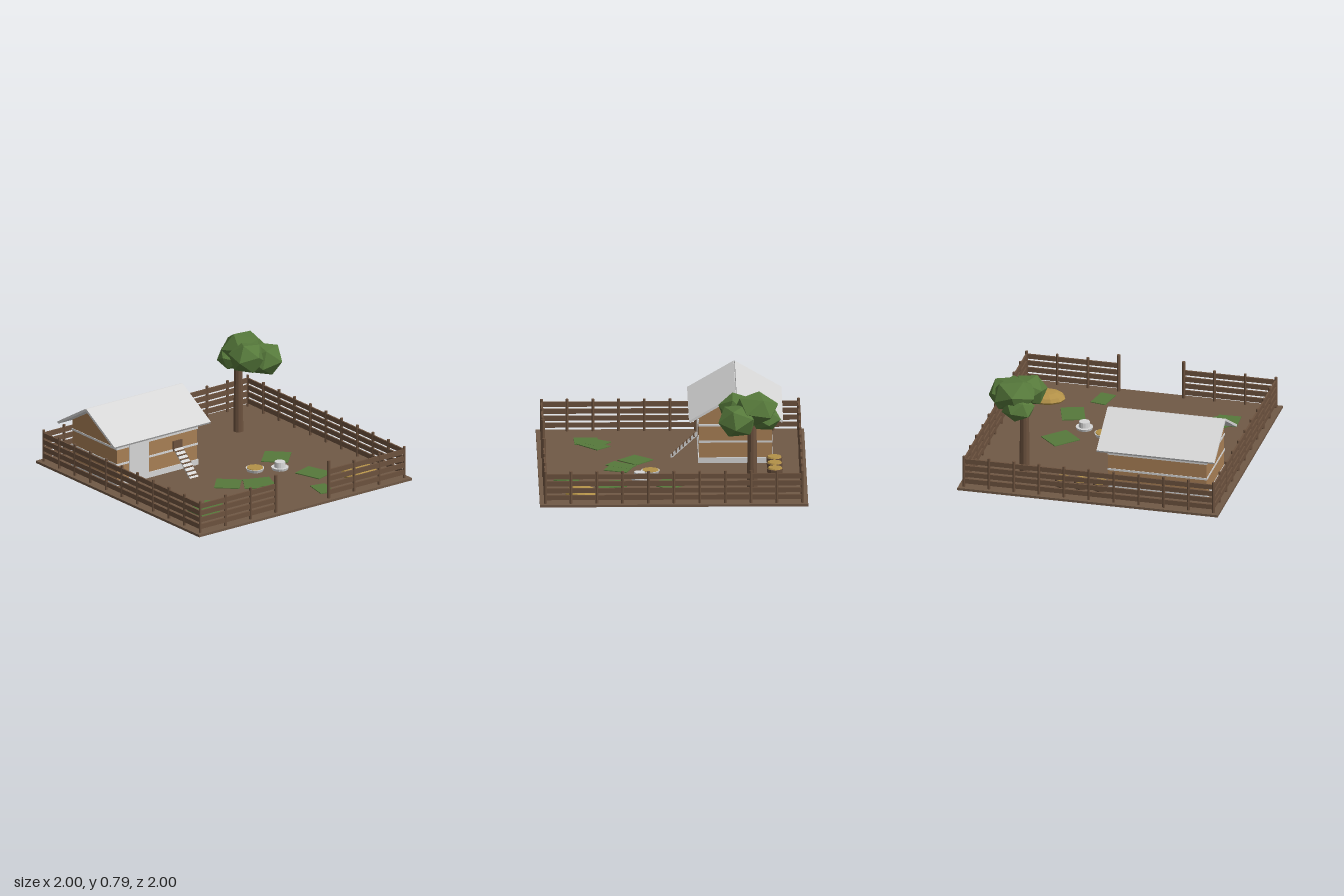
import * as THREE from 'three';

const mat = (name, color, extra = {}) => {
  const m = new THREE.MeshStandardMaterial({ color, ...extra });
  m.name = name;
  return m;
};

export function createModel() {
  const root = new THREE.Group();
  root.name = 'chickenYard';
  const earth = mat('earth', 0x705946);
  const wood = mat('darkWood', 0x6c523e, { flatShading: true });
  const plank = mat('wallWood', 0xa87f55);
  const pale = mat('paleMetal', 0xd6d6d6, { flatShading: true });
  const straw = mat('straw', 0xb39148, { flatShading: true });
  const green = mat('leafGreen', 0x56793b, { flatShading: true });

  const add = (parent, name, geo, material, x = 0, y = 0, z = 0) => {
    const m = new THREE.Mesh(geo, material);
    m.name = name;
    m.position.set(x, y, z);
    parent.add(m);
    return m;
  };
  const box = (parent, name, material, w, h, d, x, y, z) =>
    add(parent, name, new THREE.BoxGeometry(w, h, d), material, x, y, z);
  const cyl = (parent, name, material, rTop, rBottom, y0, y1, x, z, sides = 12) =>
    add(parent, name, new THREE.CylinderGeometry(rTop, rBottom, y1 - y0, sides), material, x, (y0 + y1) / 2, z);
  const group = (name) => {
    const g = new THREE.Group();
    g.name = name;
    root.add(g);
    return g;
  };

  const G = 0.037; // ground level
  box(root, 'ground', earth, 2, 0.018, 2, 0, G - 0.009, 0);

  // Grass patches: x, z, width, depth, turn
  [
    [0.465, 0.035, 0.2, 0.22, -0.78], [-0.17, 0.27, 0.19, 0.19, -0.75],
    [0.03, 0.39, 0.21, 0.18, -0.35], [-0.03, 0.38, 0.12, 0.2, -0.6],
    [0.48, 0.475, 0.175, 0.22, 0.3], [0.325, 0.785, 0.12, 0.185, -0.2],
    [-0.67, 0.63, 0.17, 0.18, 0.04], [-0.56, 0.58, 0.14, 0.23, -0.82],
    [-0.62, 0.55, 0.15, 0.15, -0.62],
  ].forEach(([x, z, w, d, turn], i) => {
    box(root, 'grassPatch', green, w, 0.006, d, x, G + 0.003 + i * 0.0004, z).rotation.y = turn;
  });

  // Fence runs with round posts and four rails
  const fence = group('fence');
  const run = (name, x0, z0, x1, z1, bays) => {
    const g = new THREE.Group();
    g.name = name;
    fence.add(g);
    const len = Math.hypot(x1 - x0, z1 - z0);
    for (let i = 0; i <= bays; i++) {
      const t = i / bays;
      cyl(g, 'post', wood, 0.011, 0.011, G, 0.285, x0 + (x1 - x0) * t, z0 + (z1 - z0) * t, 8);
    }
    for (const y of [0.083, 0.137, 0.191, 0.245]) {
      const rail = box(g, 'rail', wood, len, 0.037, 0.013, (x0 + x1) / 2, y, (z0 + z1) / 2);
      rail.rotation.y = -Math.atan2(z1 - z0, x1 - x0);
    }
  };
  const E = 0.958;
  run('backFence', -E, -E, E, -E, 10);
  for (const s of [-1, 1]) {
    run('sideFence', s * E, -E, s * E, E, 10);
    run('frontFence', s * E, E, s * 0.25, E, 3);
    cyl(fence, 'gatePost', wood, 0.014, 0.014, G, 0.333, s * 0.25, E, 8);
  }

  // Coop: gabled walls extruded along x
  const coop = group('coop');
  const cx = -0.474, cz = -0.475, len = 0.755, half = 0.272;
  const gable = new THREE.Shape();
  gable.moveTo(-half, G);
  gable.lineTo(half, G);
  gable.lineTo(half, 0.405);
  gable.lineTo(0, 0.56);
  gable.lineTo(-half, 0.405);
  gable.closePath();
  const wallGeo = new THREE.ExtrudeGeometry(gable, { depth: len, bevelEnabled: false });
  wallGeo.translate(0, 0, -len / 2);
  wallGeo.rotateY(Math.PI / 2);
  add(coop, 'walls', wallGeo, plank, cx, 0, cz);
  box(coop, 'foundation', pale, len + 0.012, 0.044, 2 * half + 0.012, cx, G + 0.022, cz);
  for (const y of [0.203, 0.33]) {
    box(coop, 'trimBand', pale, len + 0.008, 0.016, 2 * half + 0.008, cx, y, cz);
  }

  // Two roof slopes meeting at the ridge
  const pitch = 0.53, slope = 0.402;
  for (const s of [-1, 1]) {
    const roof = box(coop, 'roofSlope', pale, 0.905, 0.018, slope,
      -0.478, 0.579 - Math.sin(pitch) * slope / 2, cz - 0.003 + s * Math.cos(pitch) * slope / 2);
    roof.rotation.x = s * pitch;
  }

  // Door, hatch and side window
  const front = cz + half;
  box(coop, 'door', pale, 0.18, 0.29, 0.009, -0.648, 0.22, front + 0.005);
  box(coop, 'hatch', wood, 0.085, 0.08, 0.009, -0.285, 0.235, front + 0.005);
  box(coop, 'sideWindow', wood, 0.009, 0.075, 0.108, cx + len / 2 + 0.005, 0.312, cz);

  // Ramp with cross slats
  const ramp = group('ramp');
  ramp.position.set(-0.283, 0.122, -0.093);
  ramp.rotation.x = 0.74;
  box(ramp, 'rampBoard', pale, 0.08, 0.009, 0.27, 0, 0, 0);
  for (let i = 0; i < 7; i++) {
    box(ramp, 'slat', wood, 0.082, 0.008, 0.01, 0, 0.006, -0.108 + i * 0.036);
  }

  // Tree
  const tree = group('tree');
  cyl(tree, 'trunk', wood, 0.032, 0.039, G, 0.6, 0.586, -0.588, 10);
  [
    [0.74, 0.61, -0.475, 0.16, 0.13, 0.155, 0.4], [0.655, 0.675, -0.61, 0.175, 0.13, 0.18, 1.2],
    [0.58, 0.655, -0.475, 0.145, 0.125, 0.145, 2.1], [0.61, 0.59, -0.685, 0.13, 0.095, 0.12, 2.9],
  ].forEach(([x, y, z, rx, ry, rz, turn]) => {
    const geo = new THREE.IcosahedronGeometry(1, 0);
    geo.rotateX(0.55); // stand it on a vertex
    geo.rotateY(turn);
    geo.scale(rx, ry, rz);
    add(tree, 'foliage', geo, green, x, y, z);
  });

  // Straw heap
  const heap = new THREE.SphereGeometry(1, 11, 6);
  heap.scale(0.146, 0.053, 0.118);
  add(root, 'strawHeap', heap, straw, 0.738, 0.053, 0.69);

  // Straw-filled tubs behind the coop
  for (const x of [-0.043, 0.105, 0.25]) {
    const tub = group('tub');
    cyl(tub, 'tubSide', wood, 0.06, 0.054, G, 0.095, x, -0.763);
    cyl(tub, 'tubStraw', straw, 0.05, 0.055, 0.095, 0.105, x, -0.763);
  }

  // Feed dish and drinker
  const feeder = group('feeder');
  cyl(feeder, 'dish', pale, 0.07, 0.06, G, 0.061, 0.166, 0.163, 16);
  cyl(feeder, 'feed', straw, 0.06, 0.062, 0.06, 0.066, 0.166, 0.163, 16);
  const drinker = group('drinker');
  cyl(drinker, 'tray', pale, 0.066, 0.06, G, 0.056, 0.335, 0.248, 16);
  cyl(drinker, 'tank', pale, 0.04, 0.043, 0.056, 0.098, 0.335, 0.248, 14);

  return root;
}
